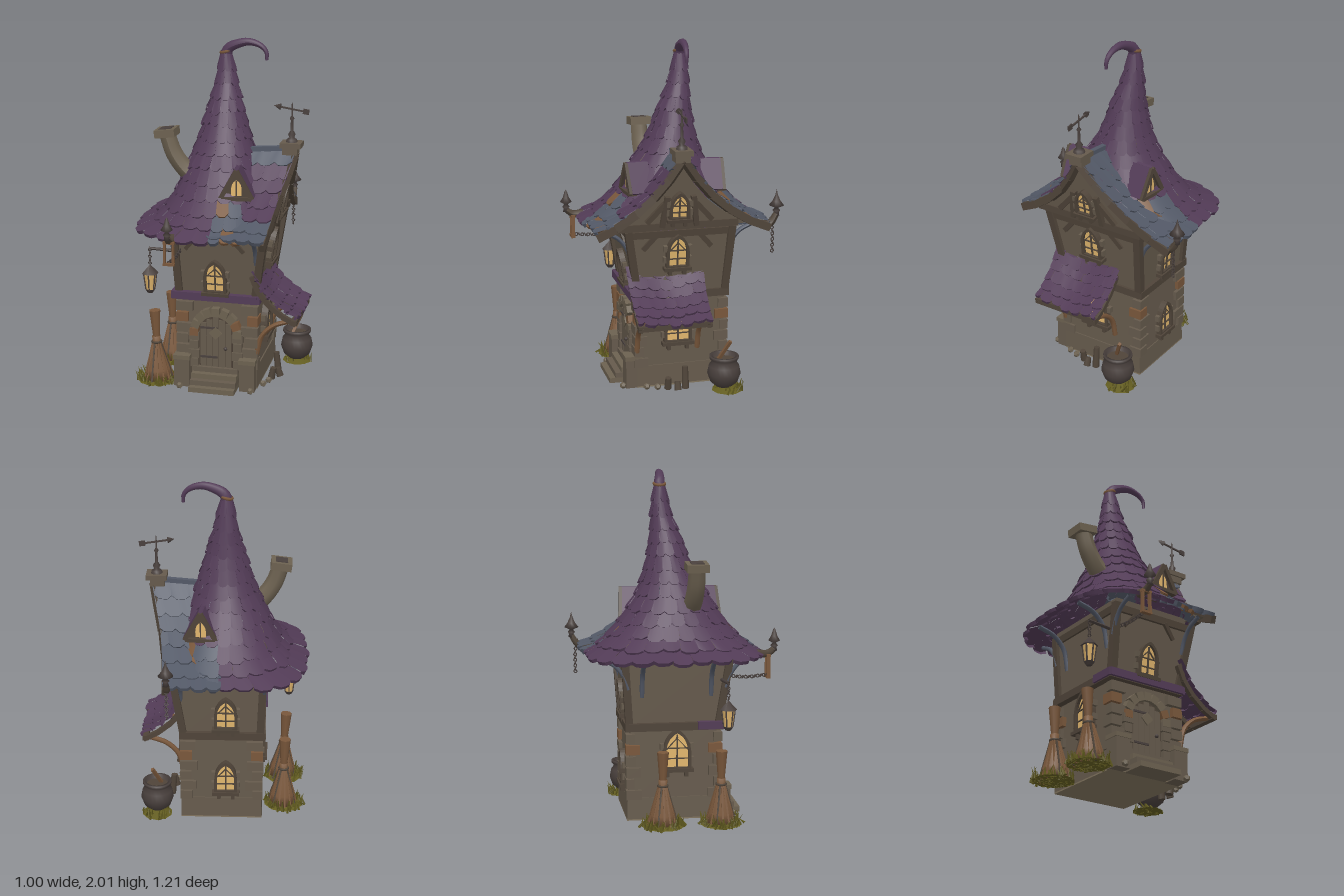
import * as THREE from 'three';
import { mergeVertices, toCreasedNormals } from 'three/addons/utils/BufferGeometryUtils.js';
const mat = (name, color, side = THREE.FrontSide) => new THREE.MeshStandardMaterial({ name, color, side });
const purple = mat('purple shingle', 0x523b56, 2), slate = mat('slate shingle', 0x525866, 2), pale = mat('pale plaster', 0x80735d);
const wall = mat('plaster', 0x655a4c), stone = mat('stone', 0x6c6150), wood = mat('dark timber', 0x4f4439), iron = mat('iron', 0x49403d, 2);
const straw = mat('straw brown', 0x79573b, 2), glow = mat('lit glass', 0xe2b76e, 2), grass = mat('grass', 0x625c20, 2);
const PI = Math.PI, V = (x, y, z) => new THREE.Vector3(x, y, z);
let seed = 7;
const rnd = () => (seed = (seed * 16807) % 2147483647) / 2147483647;
const poly = pts => new THREE.Shape(pts.map(p => new THREE.Vector2(...p)));
const curveOf = pts => new THREE.CatmullRomCurve3(pts.map(p => V(...p)));
const lathe = (pts, n = 20) => new THREE.LatheGeometry(pts.map(p => new THREE.Vector2(...p)), n);
const extrude = (s, depth) => new THREE.ExtrudeGeometry(s, { depth, bevelEnabled: false, curveSegments: 8 });
function add(parent, name, geo, material, p = [0, 0, 0], r = [0, 0, 0]) {
  const m = new THREE.Mesh(geo, material);
  m.name = name; m.position.set(...p); m.rotation.set(...r); parent.add(m);
  return m;
}
const box = (parent, name, s, material, p, r) => add(parent, name, new THREE.BoxGeometry(...s), material, p, r);
function group(parent, name, p = [0, 0, 0], ry = 0, rx = 0) {
  const g = new THREE.Group();
  g.name = name; g.rotation.order = 'YXZ'; g.position.set(...p); g.rotation.set(rx, ry, 0); parent.add(g);
  return g;
}
// move every vertex by a rule
function warp(geo, rule) {
  const p = geo.attributes.position, v = V(0, 0, 0);
  for (let i = 0; i < p.count; i++) { rule(v.fromBufferAttribute(p, i), i); p.setXYZ(i, v.x, v.y, v.z); }
  geo.computeVertexNormals();
  return geo;
}
// straight timber between two points
function beam(parent, name, a, b, w, d, material) {
  const A = V(...a), B = V(...b), m = box(parent, name, [w, A.distanceTo(B), d], material, A.clone().lerp(B, 0.5).toArray());
  m.quaternion.setFromUnitVectors(V(0, 1, 0), B.sub(A).normalize());
}
// curved rod whose radius runs from r0 to r1
function rod(parent, name, pts, r0, r1, material, sides = 6) {
  const curve = curveOf(pts), n = 20;
  add(parent, name, warp(new THREE.TubeGeometry(curve, n, 1, sides), (v, i) => {
    const t = Math.floor(i / (sides + 1)) / n, c = curve.getPointAt(t);
    v.sub(c).multiplyScalar(r0 + (r1 - r0) * t).add(c);
  }), material);
}
// block with different rectangles [x0,x1,z0,z1] at bottom and top
function taperBox(parent, name, y0, a, y1, b, material) {
  add(parent, name, warp(new THREE.BoxGeometry(1, 1, 1), v => {
    const q = v.y < 0 ? a : b;
    v.set(q[v.x < 0 ? 0 : 1], v.y < 0 ? y0 : y1, q[v.z < 0 ? 2 : 3]);
  }), material);
}
function keyed(keys, v) {
  const i = Math.max(0, Math.min(keys.length - 2, Math.floor(v)));
  return keys[i].map((k, j) => k + (keys[i + 1][j] - k) * (v - i));
}
// overlapping rounded tiles laid in rows over a surface, sorted by colour
function shingles(parent, name, surf, vMax, rows, tiles, pick, open) {
  const data = new Map([[purple, []], [slate, []], [straw, []]]), dv = vMax / rows;
  const at = (u, v, off) => {
    if (open) u = Math.max(0, Math.min(1, u));
    const p = surf(u, v), n = surf(u + 0.003, v).sub(p).cross(surf(u, v + 0.02).sub(p)).normalize();
    return p.addScaledVector(n, n.y < 0 ? -off : off);
  };
  const quad = (m, a, b, c, d) => [a, b, c, b, d, c].forEach(p => data.get(m).push(p.x, p.y, p.z));
  for (let r = 0; r < rows; r++) {
    const n = tiles((r + 0.5) * dv);
    for (let i = open ? -(r % 2) : 0; i < n; i++) {
      const u0 = (i + (r % 2) / 2) / n, drop = rnd() * 0.25, lift = 0.013 + rnd() * 0.008, m = pick(at(u0 + 0.5 / n, (r + 0.6) * dv, 0));
      for (let j = 0, last; j <= 4; j++) {
        const u = u0 + j / 4 / n, vb = (r + 1 + drop - 0.22 * Math.pow(j / 2 - 1, 4)) * dv;
        const cur = [at(u, Math.max(0, r - 0.3) * dv, 0.003), at(u, vb, lift), at(u, vb, -0.004)];
        for (const k of last ? [0, 1] : []) quad(m, last[k], last[k + 1], cur[k], cur[k + 1]);
        last = cur;
      }
    }
  }
  for (const [m, arr] of data) if (arr.length) {
    const geo = new THREE.BufferGeometry().setAttribute('position', new THREE.Float32BufferAttribute(arr, 3));
    add(parent, name + ' ' + m.name, toCreasedNormals(mergeVertices(geo, 1e-4), 0.7), m);
  }
}
// pointed arch outline
function arch(w, h) {
  const k = h - w * 0.95, s = new THREE.Shape().moveTo(-w / 2, 0).lineTo(w / 2, 0).lineTo(w / 2, k);
  return s.quadraticCurveTo(w / 2, h - w * 0.25, 0, h).quadraticCurveTo(-w / 2, h - w * 0.25, -w / 2, k);
}
function windowUnit(parent, p, ry, tilt, w = 0.1, h = 0.17) {
  const g = group(parent, 'window', p, ry, tilt), outer = arch(w + 0.035, h + 0.03);
  outer.holes.push(new THREE.Path(arch(w, h).getPoints(8).map(q => q.setY(q.y + 0.01))));
  add(g, 'glass', new THREE.ShapeGeometry(arch(w + 0.01, h + 0.015)), glow, [0, 0, 0.012]);
  add(g, 'frame', extrude(outer, 0.04), wood, [0, 0, -0.01]);
  box(g, 'mullion', [0.008, h, 0.01], wood, [0, h / 2, 0.016]);
  for (const k of [0.3, 0.6]) box(g, 'glazing bar', [w, 0.006, 0.008], wood, [0, h * k, 0.016]);
  box(g, 'sill', [w + 0.06, 0.02, 0.05], wood, [0, -0.008, 0.015]);
  for (const s of [-1, 1]) {
    box(g, 'tracery', [0.005, w * 0.75, 0.008], wood, [s * w * 0.22, h * 0.74, 0.016], [0, 0, s * 0.75]);
    box(g, 'corbel', [0.02, 0.03, 0.035], wood, [s * w * 0.42, -0.032, 0.01]);
    for (const k of [0.15, 0.55]) box(g, 'jamb stone', [0.022, 0.035, 0.035], wall, [s * (w / 2 + 0.022), h * k + 0.02, 0.005]);
  }
}
function chain(parent, pts) {
  const c = curveOf(pts), n = Math.round(c.getLength() / 0.018);
  for (let i = 0; i <= n; i++) add(parent, 'chain link', new THREE.TorusGeometry(0.009, 0.0035, 4, 8), iron, c.getPointAt(i / n).toArray(), [0.5, i % 2 * 1.57, 0]);
}
function tuft(parent, x, z, n, r) {
  add(parent, 'grass mound', new THREE.ConeGeometry(r, 0.03, 10), grass, [x, 0.015, z]);
  for (let i = 0; i < n; i++) {
    const a = rnd() * 6.28, d = r * Math.sqrt(rnd()), h = 0.03 + rnd() * 0.05;
    add(parent, 'grass blade', new THREE.ConeGeometry(0.009, h, 3), grass, [x + d * Math.cos(a), h * 0.42, z + d * Math.sin(a)], [rnd() - 0.5, a, rnd() - 0.5]);
  }
}
function walls(house) {
  const body = group(house, 'body'), low = [-0.22, 0.23, -0.275, 0.245], top = [-0.235, 0.29, -0.3, 0.31], base = [-0.235, 0.245, -0.29, 0.25];
  taperBox(body, 'foundation', 0, base, 0.008, base, pale);
  taperBox(body, 'plinth', 0.008, base, 0.13, [-0.228, 0.242, -0.285, 0.247], wall);
  taperBox(body, 'lower wall', 0.1, [-0.22, 0.235, -0.28, 0.24], 0.54, [-0.21, 0.23, -0.27, 0.235], wall);
  taperBox(body, 'upper wall', 0.54, low, 0.99, top, wall);
  taperBox(body, 'belt', 0.525, [-0.25, 0.25, -0.3, 0.27], 0.57, [-0.25, 0.25, -0.3, 0.27], wood);
  taperBox(body, 'top beam', 0.91, [-0.245, 0.295, -0.31, 0.315], 0.95, [-0.25, 0.3, -0.315, 0.32], wood);
  box(body, 'front belt cap', [0.5, 0.045, 0.05], purple, [-0.005, 0.552, 0.262]);
  for (const x of [-0.245, 0.245]) box(body, 'belt end', [0.035, 0.045, 0.16], purple, [x, 0.552, 0.2]);
  for (const i of [0, 1]) for (const j of [2, 3]) {
    beam(body, 'corner post', [low[i], 0.57, low[j]], [top[i], 0.96, top[j]], 0.042, 0.042, wood);
    for (let k = 0; k < 6; k++) {
      const s = 0.06 + 0.03 * (k % 2) + rnd() * 0.015, sx = Math.sign(low[i]), sz = Math.sign(low[j]);
      box(body, 'corner stone', [s, 0.055, 0.15 - s], k === 4 ? straw : wall, [low[i] * 0.99 - sx * (s / 2 - 0.02), 0.15 + k * 0.066, low[j] * 0.99 - sz * (0.053 - s / 2)]);
    }
  }
  for (const s of [-1, 1]) {
    beam(body, 'front strut', [s * 0.17, 0.84, 0.29], [s * 0.1, 0.92, 0.31], 0.022, 0.022, wood);
    beam(body, 'side strut', [0.27, 0.84, 0.02 + s * 0.2], [0.285, 0.92, 0.02 + s * 0.13], 0.022, 0.03, wood);
  }
  for (const [p, ry, tilt, w, h] of [[[0, 0.585, 0.255], 0, 0.14], [[0.262, 0.73, 0.02], PI / 2, 0.13], [[0.24, 0.27, 0.01], PI / 2, 0, 0.13], [[-0.02, 0.6, -0.28], PI, 0.06],
    [[-0.02, 0.18, -0.28], PI, 0], [[-0.222, 0.3, 0], -PI / 2, 0, 0.13, 0.2], [[0.322, 1.03, 0.025], PI / 2, 0.17, 0.085, 0.13]]) windowUnit(house, p, ry, tilt, w, h);
}
function entrance(house) {
  const door = group(house, 'entrance', [0, 0, 0.24]);
  add(door, 'door', extrude(new THREE.Shape().moveTo(-0.1, 0.1).lineTo(0.1, 0.1).lineTo(0.1, 0.33).absarc(0, 0.33, 0.1, 0, PI), 0.02), wood);
  for (let i = -2; i <= 2; i++) box(door, 'door plank', [0.034, 0.32 - Math.abs(i) * 0.02, 0.008], wall, [i * 0.037, 0.27 - Math.abs(i) * 0.01, 0.022]);
  box(door, 'door light', [0.055, 0.055, 0.01], stone, [0, 0.33, 0.028], [0, 0, PI / 4]);
  add(door, 'knob', new THREE.SphereGeometry(0.011, 10, 8), iron, [0.06, 0.24, 0.035]);
  for (const y of [0.18, 0.36]) box(door, 'hinge', [0.1, 0.012, 0.008], iron, [-0.04, y, 0.028]);
  for (let i = 0, a = 0; i < 9; i++, a += PI / 8) box(door, 'arch stone', [0.05, 0.045, 0.055], i % 7 === 1 ? straw : stone, [0.128 * Math.cos(a), 0.33 + 0.128 * Math.sin(a), 0.012], [0, 0, a]);
  for (const s of [-1, 1]) {
    for (let i = 0; i < 4; i++) box(door, 'jamb stone', [0.05 + 0.015 * (i % 2), 0.05, 0.05], wall, [s * 0.13, 0.14 + i * 0.055, 0.012]);
    box(door, 'pier', [0.09, 0.17, 0.09], wall, [s * 0.195, 0.085, 0.03]);
    box(door, 'pier cap', [0.1, 0.025, 0.1], stone, [s * 0.195, 0.18, 0.03]);
  }
  for (let i = 0; i < 4; i++) box(door, 'step', [0.27, 0.03, 0.15 - i * 0.035], i % 2 ? wall : stone, [0, 0.015 + i * 0.03, 0.075 - i * 0.0175]);
}
function roofs(house) {
  // pointed main roof: [y, cx, cz, rx, rz, squareness]
  const roof = group(house, 'roof'), worn = () => (rnd() < 0.07 ? straw : slate);
  const hat = [[1.93, -0.018, -0.07, 0.026, 0.026, 2], [1.8, -0.014, -0.069, 0.045, 0.04, 2], [1.7, -0.012, -0.053, 0.068, 0.062, 2], [1.6, -0.01, -0.032, 0.098, 0.088, 2],
    [1.5, -0.012, -0.026, 0.126, 0.112, 2], [1.4, -0.013, -0.014, 0.155, 0.145, 2], [1.3, -0.016, 0, 0.192, 0.198, 2.1], [1.2, -0.015, 0, 0.232, 0.255, 2.2],
    [1.1, -0.01, 0, 0.28, 0.325, 2.4], [1.01, 0, 0, 0.35, 0.415, 2.7], [0.945, 0, 0, 0.475, 0.505, 3]];
  shingles(roof, 'hat roof', (u, v) => {
    const [y, cx, cz, rx, rz, n] = keyed(hat, v), c = Math.cos(u * 2 * PI), s = Math.sin(u * 2 * PI), k = Math.pow(Math.abs(c) ** n + Math.abs(s) ** n, -1 / n);
    return V(cx + c * k * (c > 0 ? Math.min(rx, 0.27) : rx), y, cz + s * k * rz);
  }, 10, 13, v => Math.round(7 + v * 2.3), p => (p.x > 0.01 && p.y < 1.12 && (p.z > 0.3 || p.z < -0.2) ? worn() : purple));
  rod(roof, 'curled tip', [[-0.018, 1.9, -0.07], [-0.005, 1.94, -0.068], [0.05, 1.97, -0.06], [0.12, 1.985, -0.055], [0.19, 1.965, -0.05], [0.222, 1.93, -0.047], [0.225, 1.885, -0.045]], 0.034, 0.009, purple, 10);
  add(roof, 'tip ring', new THREE.TorusGeometry(0.031, 0.009, 6, 16), straw, [-0.018, 1.925, -0.07], [1.57, 0.25, 0]);
  // side gable: [z, y, outer x]
  const gable = [[0, 1.37, 0.42], [0.075, 1.26, 0.392], [0.16, 1.16, 0.362], [0.26, 1.075, 0.342], [0.38, 1.0, 0.33], [0.49, 0.957, 0.325]];
  for (const s of [-1, 1]) {
    const at = (u, v) => { const [z, y, x] = keyed(gable, v); return V(x * u, y + 0.03 * u * (1 - v / 5), 0.02 * (1 - v / 5) + z * (s > 0 ? 1 : -1.06)); };
    shingles(roof, s > 0 ? 'front slope' : 'back slope', at, 5, 7, () => 4, p => (s > 0 && p.z > 0.07 && p.z < 0.31 ? purple : p.y < 1.1 ? worn() : slate), true);
    const trim = [0, 1, 2, 3, 4, 5].map(v => at(1, v).add(V(-0.012, -0.022, 0)).toArray());
    for (let v = 0; v < 5; v++) beam(roof, 'barge board', trim[v], trim[v + 1], 0.03, 0.045, wood);
    beam(roof, 'gable brace', [0.32, 1.01, s * 0.19 + 0.02], [0.34, 1.12, s * 0.09 + 0.02], 0.03, 0.03, wood);
    beam(roof, 'gable stud', [0.318, 0.98, s * 0.1 + 0.02], [0.35, 1.16, s * 0.075 + 0.02], 0.03, 0.03, wood);
    // dormer on each slope of the main roof
    const d = group(roof, 'dormer', [0.12, 1.15, s * 0.25], s > 0 ? 0.1 : PI - 0.1);
    add(d, 'dormer wall', extrude(poly([[-0.075, 0], [0.075, 0], [0, 0.15]]), 0.14), wood, [0, 0, -0.12]);
    add(d, 'dormer glass', new THREE.ShapeGeometry(arch(0.06, 0.09)), glow, [0, 0.015, 0.023]);
    box(d, 'mullion', [0.007, 0.085, 0.008], wood, [0, 0.06, 0.025]);
    box(d, 'dormer sill', [0.17, 0.02, 0.05], wood, [0, 0, 0.02]);
    for (const k of [-1, 1]) {
      box(d, 'dormer roof', [0.022, 0.185, 0.12], purple, [k * 0.047, 0.082, -0.035], [0, 0, k * 0.5]);
      box(d, 'dormer edge', [0.026, 0.185, 0.018], wood, [k * 0.045, 0.08, 0.034], [0, 0, k * 0.5]);
    }
  }
  const face = poly([[-0.4, 0.97], [-0.26, 1.05], [-0.16, 1.13], [-0.075, 1.23], [0, 1.35], [0.075, 1.23], [0.16, 1.13], [0.26, 1.05], [0.4, 0.97]]);
  add(roof, 'gable wall', warp(extrude(face, 0.06).rotateY(PI / 2), v => { v.x += (v.y - 0.95) * 0.16; }), wall, [0.243, 0, 0.02]);
  box(roof, 'gable beam', [0.05, 0.04, 0.7], wood, [0.295, 0.98, 0.02]);
  beam(roof, 'ridge beam', [0.1, 1.375, 0.02], [0.42, 1.4, 0.02], 0.03, 0.03, slate);
  // upswept eave ends with finials, hanging chains and curved brackets
  for (const [x, y, z, r, s] of [[-0.2, 0.97, 0.572, 0.034, 1], [0.3, 1.0, -0.562, 0.043, -1]]) {
    rod(roof, 'eave horn', [[x, 0.955, z - s * 0.1], [x, 0.955, z - s * 0.04], [x, y + 0.01, z]], 0.026, 0.018, wood);
    add(roof, 'finial', lathe([[0, 0], [0.018, 0], [0.014, 0.02], [0.022, 0.03], [0.01, 0.045], [r, 0.06], [r * 0.55, 0.085], [0.008, 0.12], [0, r * 2.2 + 0.06]], 12), iron, [x, y, z]);
  }
  chain(roof, [[0.3, 0.98, -0.53], [0.3, 0.9, -0.54], [0.3, 0.79, -0.54]]);
  chain(roof, [[-0.2, 0.83, 0.53], [-0.2, 0.82, 0.4], [-0.2, 0.83, 0.3]]);
  for (const k of [-1, 1]) box(roof, 'hanger side', [0.012, 0.13, 0.02], straw, [-0.2 + k * 0.025, 0.885, 0.535]);
  for (const y of [0.82, 0.945]) box(roof, 'hanger bar', [0.065, 0.014, 0.024], straw, [-0.2, y, 0.535]);
  for (const k of [-0.2, 0.2]) {
    rod(roof, 'left eave bracket', [[-0.22, 0.72, k], [-0.25, 0.85, k], [-0.32, 0.92, k], [-0.42, 0.95, k]], 0.014, 0.014, slate);
    for (const s of [-1, 1]) rod(roof, 'eave bracket', [[0.77, 0.28], [0.85, 0.31], [0.91, 0.36], [0.95, 0.44]].map(([y, z]) => [k * 1.2, y, s * z]), 0.013, 0.013, slate);
  }
}
function fittings(house) {
  const ch = group(house, 'chimney'), vane = group(house, 'weather vane', [0.388, 1.4, 0.025]), lamp = group(house, 'lantern', [-0.39, 0.55, 0.27]);
  rod(ch, 'flue', [[-0.14, 1.2, 0.09], [-0.22, 1.26, 0.095], [-0.285, 1.35, 0.1], [-0.325, 1.46, 0.1]], 0.058, 0.048, stone, 8);
  box(ch, 'chimney cap', [0.12, 0.045, 0.125], stone, [-0.328, 1.472, 0.098], [0, 0, 0.12]);
  box(ch, 'flue opening', [0.07, 0.006, 0.075], iron, [-0.331, 1.495, 0.098], [0, 0, 0.12]);
  box(vane, 'gable cap base', [0.085, 0.06, 0.085], wall, [-0.005, -0.005, 0]);
  box(vane, 'gable cap', [0.12, 0.03, 0.105], wall, [0, 0.02, 0]);
  add(vane, 'pole', lathe([[0.035, 0.03], [0.03, 0.05], [0.014, 0.06], [0.022, 0.08], [0.009, 0.1], [0.007, 0.16], [0.014, 0.17], [0.005, 0.185], [0.004, 0.25], [0, 0.265]], 10), iron);
  beam(vane, 'arrow shaft', [-0.09, 0.238, 0], [0.09, 0.21, 0], 0.009, 0.009, iron);
  add(vane, 'arrow head', new THREE.ConeGeometry(0.02, 0.04, 4), iron, [-0.085, 0.238, 0], [0, 0, 1.4]);
  box(vane, 'arrow tail', [0.035, 0.03, 0.008], iron, [0.08, 0.212, 0], [0, 0, -0.15]);
  rod(house, 'lantern arm', [[-0.2, 0.81, 0.26], [-0.3, 0.815, 0.265], [-0.395, 0.82, 0.27]], 0.011, 0.008, iron);
  chain(house, [[-0.39, 0.81, 0.27], [-0.39, 0.73, 0.27]]);
  for (const [name, r0, r1, h, y, m] of [['glass', 0.038, 0.026, 0.1, 0.07, glow], ['base', 0.03, 0.016, 0.022, 0.011, iron], ['cap', 0, 0.05, 0.055, 0.145, iron]]) add(lamp, 'lantern ' + name, new THREE.CylinderGeometry(r0, r1, h, 6), m, [0, y, 0]);
  for (let a = 0; a < 6; a += PI / 3) beam(lamp, 'lantern bar', [Math.sin(a) * 0.026, 0.02, Math.cos(a) * 0.026], [Math.sin(a) * 0.039, 0.12, Math.cos(a) * 0.039], 0.007, 0.007, iron);
  // side awning: [x, y]
  const awn = [[0.215, 0.72], [0.25, 0.635], [0.31, 0.56], [0.39, 0.495], [0.475, 0.45]], awning = group(house, 'awning');
  shingles(awning, 'awning', (u, v) => { const [x, y] = keyed(awn, v); return V(x, y + 0.012 * Math.cos(u * 6.28), (u - 0.5) * (0.46 - v * 0.008) + 0.08); }, 4, 6, () => 6, () => purple, true);
  for (const z of [-0.12, 0.08, 0.28]) for (let i = 0; i < 4; i++) beam(awning, 'rafter', [awn[i][0], awn[i][1] - 0.022, z], [awn[i + 1][0], awn[i + 1][1] - 0.022, z], 0.028, 0.028, wood);
  for (const z of [-0.11, 0.25]) rod(awning, 'awning brace', [[0.24, 0.22, z], [0.27, 0.33, z], [0.34, 0.4, z], [0.45, 0.44, z]], 0.016, 0.014, straw);
  box(awning, 'eave rail', [0.035, 0.03, 0.43], wood, [0.463, 0.438, 0.08]);
}
function yard(house) {
  const pot = group(house, 'cauldron', [0.39, 0.02, -0.23]);
  add(pot, 'pot', lathe([[0, 0], [0.045, 0.005], [0.08, 0.035], [0.097, 0.085], [0.088, 0.13], [0.07, 0.155], [0.085, 0.175], [0.085, 0.19], [0.068, 0.19], [0.062, 0.15], [0, 0.15]], 24), iron);
  add(pot, 'brew', new THREE.CircleGeometry(0.066, 20), wood, [0, 0.165, 0], [-1.57, 0, 0]);
  beam(pot, 'ladle', [-0.03, 0.15, 0.03], [0.025, 0.28, -0.03], 0.018, 0.018, straw);
  tuft(house, 0.39, -0.25, 35, 0.09);
  for (const [x, z, t] of [[-0.355, 0.235, 0.05], [-0.355, -0.1, 0.03]]) {
    const b = group(house, 'broom', [x, 0, z]), ring = (a, r, y) => [r * Math.cos(a), y, r * Math.sin(a)];
    b.rotation.z = t;
    add(b, 'bristles', lathe([[0, 0.01], [0.085, 0.01], [0.075, 0.07], [0.05, 0.15], [0.024, 0.23], [0.026, 0.27], [0, 0.27]], 9), straw);
    for (let i = 0; i < 14; i++) beam(b, 'bristle', ring(i * 0.45, 0.088, 0), ring(i * 0.45, 0.024, 0.23), 0.01, 0.01, i % 4 ? straw : wood);
    add(b, 'binding', new THREE.TorusGeometry(0.027, 0.007, 6, 12), wood, [0, 0.235, 0], [1.57, 0, 0]);
    add(b, 'handle', new THREE.CylinderGeometry(0.034, 0.02, 0.17, 8), straw, [0, 0.345, 0]);
    tuft(house, x - 0.01, z, 140, 0.12);
  }
  for (const [x, z, h, r] of [[0.31, -0.02, 0.13, 0.1], [0.3, 0.08, 0.07, -0.2], [0.33, 0.03, 0.05, 0.3]]) add(house, 'log', new THREE.CylinderGeometry(0.018, 0.022, h, 7), wood, [x, h / 2, z], [0, 0, r]);
  for (const [x, z] of [[0.27, 0.2], [0.29, 0.14], [-0.2, 0.34], [0.22, 0.33]]) add(house, 'stone', new THREE.DodecahedronGeometry(0.02), stone, [x, 0.014, z]);
}
export function createModel() {
  const house = new THREE.Group();
  house.name = 'crooked cottage';
  for (const build of [walls, entrance, roofs, fittings, yard]) build(house);
  return house;
}
